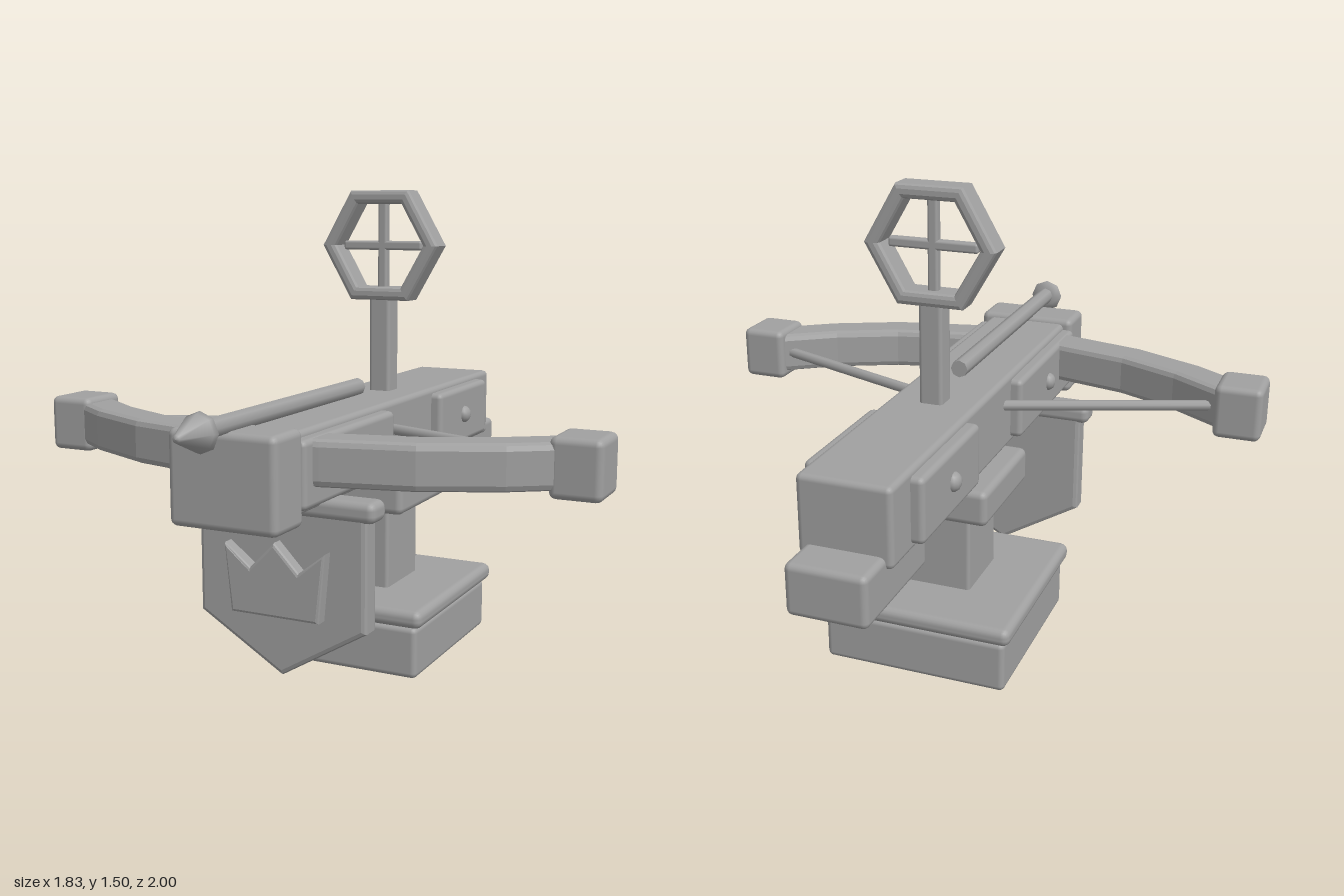
import * as THREE from 'three';
import { RoundedBoxGeometry } from 'three/addons/geometries/RoundedBoxGeometry.js';

export function createModel() {
  const model = new THREE.Group();
  model.name = 'mountedCrossbow';
  const stone = new THREE.MeshStandardMaterial({ color: 0xa0a0a0 });
  stone.name = 'grey';

  const add = (name, geometry) => {
    const mesh = new THREE.Mesh(geometry, stone);
    mesh.name = name;
    model.add(mesh);
    return mesh;
  };
  // Soft-edged box given by its low and high corner on each axis
  const block = (name, [x0, x1], [y0, y1], [z0, z1], r = 0.018) =>
    add(name, new RoundedBoxGeometry(x1 - x0, y1 - y0, z1 - z0, 2, r)
      .translate((x0 + x1) / 2, (y0 + y1) / 2, (z0 + z1) / 2));
  // Bevelled slab centred on its own plane, from an outline and an optional hole
  const slab = (points, depth, bevel, hole) => {
    const shape = new THREE.Shape(points.map(p => new THREE.Vector2(...p)));
    if (hole) shape.holes.push(new THREE.Path(hole.map(p => new THREE.Vector2(...p))));
    return new THREE.ExtrudeGeometry(shape, {
      depth: depth - 2 * bevel, bevelSize: bevel, bevelThickness: bevel,
      bevelOffset: -bevel, bevelSegments: 2,
    }).translate(0, 0, bevel - depth / 2);
  };
  // Round rod between two points
  const rod = (name, a, b, radius, sides = 8) => {
    const from = new THREE.Vector3(...a), to = new THREE.Vector3(...b);
    const mesh = add(name, new THREE.CylinderGeometry(radius, radius, from.distanceTo(to), sides));
    mesh.position.copy(from).lerp(to, 0.5);
    mesh.quaternion.setFromUnitVectors(new THREE.Vector3(0, 1, 0), to.sub(from).normalize());
    return mesh;
  };

  // Stand
  block('base', [-0.297, 0.297], [0, 0.165], [-0.44, 0.163]);
  block('baseLip', [-0.317, 0.317], [0.165, 0.223], [-0.458, 0.178], 0.025);
  block('post', [-0.118, 0.118], [0.2, 0.51], [-0.257, -0.02], 0.012);
  block('collar', [-0.2, 0.2], [0.488, 0.603], [-0.335, 0.06], 0.022);

  // Stock
  block('stock', [-0.14, 0.14], [0.605, 0.843], [-0.878, 0.7]);
  block('noseBlock', [-0.17, 0.17], [0.585, 0.86], [0.64, 0.797], 0.022);
  block('tailBlock', [-0.12, 0.12], [0.488, 0.643], [-1, -0.6], 0.02);

  // Limbs, strings, side plates and bolts on both sides
  const limbPath = [[0.1, 0.555], [0.18, 0.54], [0.434, 0.48], [0.642, 0.383], [0.815, 0.265]];
  const limbOutline = side => {
    const near = [], far = [];
    limbPath.forEach(([x, z], i) => {
      const a = limbPath[Math.max(i - 1, 0)];
      const b = limbPath[Math.min(i + 1, limbPath.length - 1)];
      const length = Math.hypot(b[0] - a[0], b[1] - a[1]);
      const nx = -(b[1] - a[1]) / length * 0.066, nz = (b[0] - a[0]) / length * 0.066;
      near.push([side * (x - nx), z - nz]);
      far.unshift([side * (x + nx), z + nz]);
    });
    return near.concat(far);
  };
  for (const side of [-1, 1]) {
    const label = side > 0 ? 'left' : 'right';
    const span = (a, b) => side > 0 ? [a, b] : [-b, -a];
    add(label + 'Limb', slab(limbOutline(side), 0.135, 0.02).rotateX(Math.PI / 2).translate(0, 0.755, 0));
    block(label + 'LimbTip', span(0.765, 0.917), [0.665, 0.84], [0.195, 0.367], 0.022);
    rod(label + 'String', [side * 0.13, 0.757, 0.005], [side * 0.8, 0.757, 0.262], 0.017);
    block(label + 'RearPlate', span(0.1, 0.178), [0.628, 0.825], [-0.758, -0.322]);
    block(label + 'FrontPlate', span(0.1, 0.178), [0.628, 0.825], [0.06, 0.652]);
    for (const z of [-0.537, 0.355]) {
      const bolt = add(label + 'Bolt', new THREE.SphereGeometry(0.03, 12, 8));
      bolt.position.set(side * 0.175, 0.727, z);
      bolt.scale.x = 0.85;
    }
  }

  // Arrow lying on the stock
  rod('arrowShaft', [0, 0.877, -0.038], [0, 0.877, 0.88], 0.028);
  const head = [[0, 0], [0.035, 0], [0.057, 0.018], [0.052, 0.033], [0.011, 0.128], [0, 0.131]];
  add('arrowHead', new THREE.LatheGeometry(head.map(p => new THREE.Vector2(...p)), 8)
    .rotateX(Math.PI / 2).translate(0, 0.873, 0.869));

  // Ring sight
  const sightY = 1.323, sightZ = -0.237;
  const hexagon = r => Array.from({ length: 6 }, (_, i) =>
    [r * Math.cos(i * Math.PI / 3), r * Math.sin(i * Math.PI / 3)]);
  block('sightPost', [-0.037, 0.037], [0.82, 1.16], [-0.277, -0.2], 0.012);
  add('sightRing', slab(hexagon(0.206), 0.098, 0.014, hexagon(0.156)).translate(0, sightY, sightZ));
  block('sightUpright', [-0.016, 0.016], [1.175, 1.465], [sightZ - 0.016, sightZ + 0.016], 0.008);
  block('sightCrossbar', [-0.14, 0.14], [sightY - 0.015, sightY + 0.015], [sightZ - 0.016, sightZ + 0.016], 0.008);

  // Shield hanging under the front
  const shield = [[-0.277, 0.6], [-0.277, 0.24], [0, 0.075], [0.277, 0.24], [0.277, 0.6]];
  add('shield', slab(shield, 0.076, 0.014).translate(0, 0, 0.441));
  block('shieldRail', [-0.307, 0.307], [0.566, 0.63], [0.397, 0.489], 0.024);
  const crown = [[-0.145, 0.265], [0.145, 0.265], [0.165, 0.474], [0.08, 0.408],
    [0, 0.49], [-0.08, 0.408], [-0.165, 0.474]];
  add('crownOrnament', slab(crown, 0.06, 0.009).translate(0, 0, 0.491));

  return model;
}
